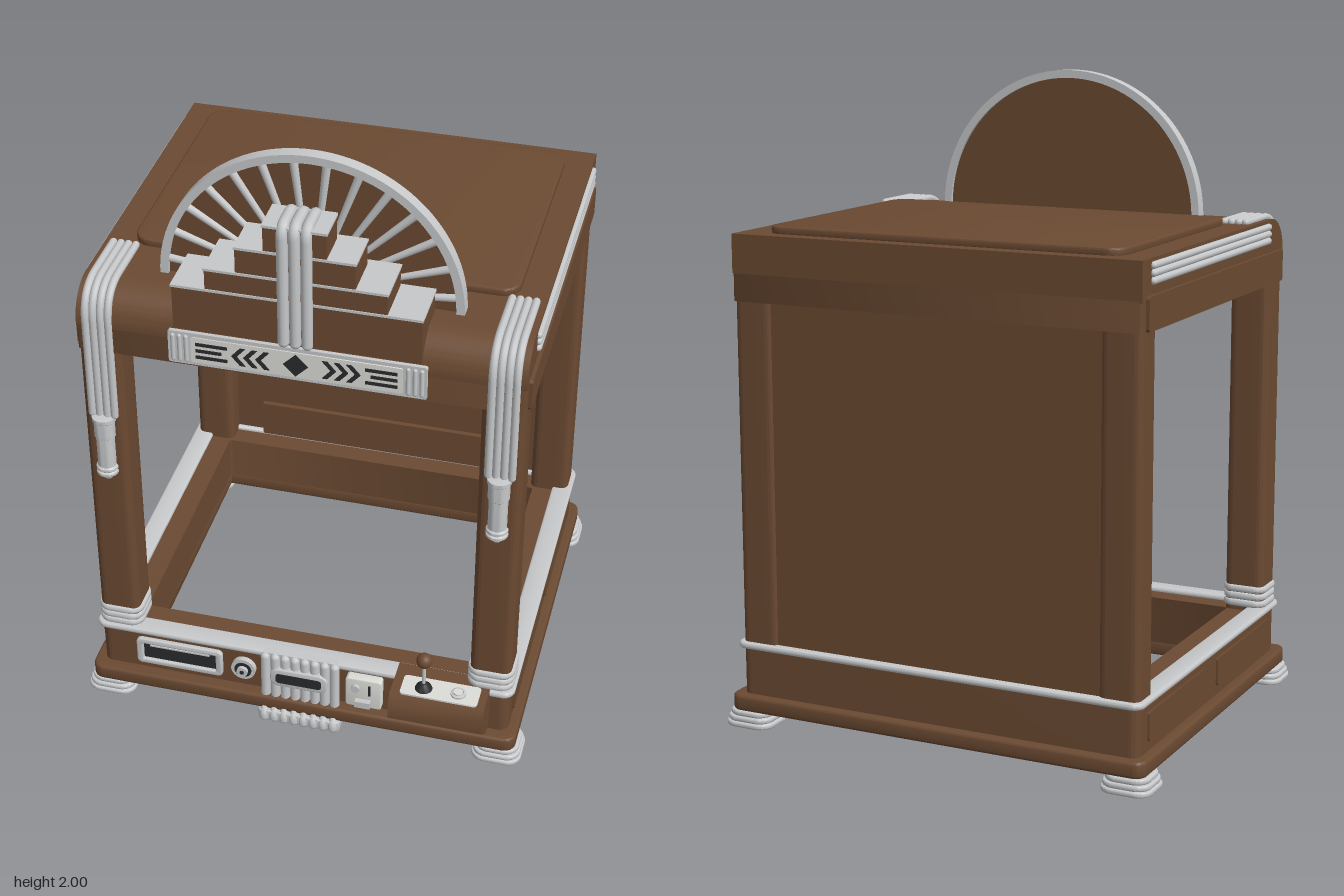
import * as THREE from 'three';
import { toCreasedNormals } from 'three/addons/utils/BufferGeometryUtils.js';

const material = (name, color) => Object.assign(new THREE.MeshStandardMaterial({ color }), { name });

export function createModel() {
  const model = new THREE.Group();
  model.name = 'arcadeCabinet';
  const wood = material('walnut brown', 0x6b4a32);
  const chrome = material('chrome', 0xc6c8ca);
  const pale = material('pale metal', 0xdcdcd8);
  const dark = material('dark grey', 0x2a2b2d);
  const V = (x, y, z) => new THREE.Vector3(x, y, z);

  function add(name, geo, mat, x = 0, y = 0, z = 0) {
    const m = new THREE.Mesh(geo, mat);
    m.name = name;
    m.position.set(x, y, z);
    model.add(m);
    return m;
  }
  const box = (name, mat, x0, x1, y0, y1, z0, z1) =>
    add(name, new THREE.BoxGeometry(x1 - x0, y1 - y0, z1 - z0), mat, (x0 + x1) / 2, (y0 + y1) / 2, (z0 + z1) / 2);

  function roundRect(w, h, r, cls = THREE.Shape) {
    const s = new cls(), a = w / 2 - r, b = h / 2 - r;
    s.absarc(a, b, r, 0, Math.PI / 2);
    s.absarc(-a, b, r, Math.PI / 2, Math.PI);
    s.absarc(-a, -b, r, Math.PI, Math.PI * 1.5);
    s.absarc(a, -b, r, Math.PI * 1.5, Math.PI * 2);
    s.closePath();
    return s;
  }
  // Extrusion from z = 0 to z = depth, optionally with softened edges
  function extrude(shape, depth, bevel = 0) {
    const g = new THREE.ExtrudeGeometry(shape, {
      depth: depth - 2 * bevel, bevelEnabled: bevel > 0, bevelSize: bevel,
      bevelThickness: bevel, bevelSegments: 3, curveSegments: 10,
    });
    return toCreasedNormals(g.translate(0, 0, bevel), 0.7);
  }
  const polygon = (pts) => new THREE.Shape(pts.map((p) => new THREE.Vector2(p[0], p[1])));
  // Horizontal rounded slab; wall > 0 makes it an open ring
  function slab(name, mat, w, d, r, y0, y1, x, z, { bevel = 0, wall = 0 } = {}) {
    const s = roundRect(w - 2 * bevel, d - 2 * bevel, r);
    if (wall) s.holes.push(roundRect(w - 2 * wall, d - 2 * wall, 0.01, THREE.Path));
    return add(name, extrude(s, y1 - y0, bevel).rotateX(-Math.PI / 2), mat, x, y0, z);
  }
  // Side profile in (z, y), extruded across x
  const profile = (name, mat, shape, x0, x1) =>
    add(name, extrude(shape, x1 - x0).rotateY(-Math.PI / 2), mat, x1, 0, 0);
  // Upright face plate
  const plate = (name, mat, shape, x, y, z0, z1, bevel = 0) => add(name, extrude(shape, z1 - z0, bevel), mat, x, y, z0);
  // Rod with round ends along points (z, y); inner corners are rounded by r
  function rod(name, mat, x, pts, radius, r) {
    const p = pts.map(([z, y]) => V(x, y, z)), path = new THREE.CurvePath();
    let from = p[0];
    for (let i = 1; i < p.length - 1; i++) {
      const a = p[i].clone().add(p[i - 1].clone().sub(p[i]).setLength(r));
      const b = p[i].clone().add(p[i + 1].clone().sub(p[i]).setLength(r));
      path.add(new THREE.LineCurve3(from, a));
      path.add(new THREE.QuadraticBezierCurve3(a, p[i], b));
      from = b;
    }
    path.add(new THREE.LineCurve3(from, p[p.length - 1]));
    add(name, new THREE.TubeGeometry(path, 48, radius, 10), mat);
    for (const e of [p[0], p[p.length - 1]]) add(name + 'End', new THREE.SphereGeometry(radius, 10, 8), mat, e.x, e.y, e.z);
  }
  const lathe = (name, mat, pts, x, y, z) =>
    add(name, toCreasedNormals(new THREE.LatheGeometry(pts.map((p) => new THREE.Vector2(p[0], p[1])), 24), 0.6), mat, x, y, z);

  // Base frame, plinth and trim
  const cz = -0.035;
  slab('plinth', wood, 1.4, 1.23, 0.03, 0.05, 0.1, 0, -0.03, { bevel: 0.008, wall: 0.14 });
  slab('baseFrame', wood, 1.34, 1.155, 0.03, 0.1, 0.255, 0, cz, { wall: 0.12 });
  slab('baseTrim', chrome, 1.37, 1.185, 0.03, 0.248, 0.268, 0, cz, { bevel: 0.007, wall: 0.06 });

  for (const s of [1, -1]) {
    // Feet and posts
    for (const z of [0.517, -0.583]) {
      [0.16, 0.152, 0.14].forEach((w, i) =>
        slab('footLayer', chrome, w, w - 0.005, 0.04, i * 0.017, (i + 1) * 0.017, s * 0.64, z, { bevel: 0.005 }));
    }
    slab('frontPost', wood, 0.13, 0.125, 0.025, 0.2, 1.36, s * 0.605, 0.478);
    slab('backPost', wood, 0.13, 0.11, 0.025, 0.2, 1.36, s * 0.605, -0.555);
    for (let i = 0; i < 3; i++)
      slab('postRing', chrome, 0.148, 0.143, 0.035, 0.268 + i * 0.024, 0.291 + i * 0.024, s * 0.605, 0.478, { bevel: 0.008 });

    // Side panels and side ribs
    for (const z of [0.24, -0.31])
      plate('baseSidePanel', wood, roundRect(0.46, 0.09, 0.008), 0, 0, 0, 0.008).rotation.y = s * Math.PI / 2,
      model.children[model.children.length - 1].position.set(s * 0.669, 0.175, z);
    const side = plate('headerSidePanel', wood, roundRect(1.1, 0.1, 0.008), 0, 0, 0, 0.012);
    side.rotation.y = s * Math.PI / 2;
    side.position.set(s * 0.669, 1.391, cz);
    for (let i = 0; i < 3; i++)
      rod('sideRib', chrome, s * 0.672, [[0.4, 1.48 + i * 0.022], [-0.54, 1.48 + i * 0.022]], 0.011, 0);

    // Ribbons over the front corners, ending in capsules
    for (let i = 0; i < 4; i++)
      rod('cornerRib', chrome, s * (0.57 + i * 0.0235), [[0.275, 1.55], [0.542, 1.55], [0.542, 1.11]], 0.012, 0.11);
    lathe('capsule', chrome, [[0, 0.87], [0.014, 0.873], [0.016, 0.886], [0.028, 0.888], [0.034, 0.894], [0.034, 0.902],
      [0.029, 0.906], [0.034, 0.911], [0.034, 0.919], [0.029, 0.924], [0.029, 1.03], [0.033, 1.034], [0.033, 1.088],
      [0.037, 1.092], [0.037, 1.104], [0, 1.11]], s * 0.605, 0, 0.543);
  }

  // Back panel with inner mouldings
  box('backPanel', wood, -0.55, 0.55, 0.24, 1.36, -0.6, -0.575);
  box('innerBackPanel', wood, -0.44, 0.44, 0.27, 1.34, -0.58, -0.562);
  box('innerTopRail', wood, -0.44, 0.44, 1.2, 1.34, -0.58, -0.545);
  box('innerBottomRail', wood, -0.44, 0.44, 0.27, 0.4, -0.58, -0.545);

  // Header and roof, rounded at the front top edge
  slab('headerFrame', wood, 1.34, 1.155, 0.01, 1.34, 1.43, 0, cz, { wall: 0.12 });
  const roof = new THREE.Shape();
  roof.moveTo(-0.6125, 1.425);
  roof.lineTo(0.5425, 1.425);
  roof.lineTo(0.5425, 1.435);
  roof.absarc(0.4325, 1.435, 0.11, 0, Math.PI / 2);
  roof.lineTo(-0.6125, 1.545);
  profile('roof', wood, roof, -0.67, 0.67);
  slab('roofPanel', wood, 1.17, 0.825, 0.05, 1.54, 1.567, 0, -0.148, { bevel: 0.006 });

  // Fan crest: half disc, rim and rays
  const R = 0.455, fanY = 1.545;
  const half = new THREE.Shape().absarc(0, 0, R - 0.01, 0, Math.PI);
  plate('fanDisc', wood, half, 0, fanY, 0.36, 0.376);
  const rim = new THREE.Shape();
  rim.absarc(0, 0, R, 0, Math.PI, false);
  rim.absarc(0, 0, R - 0.025, Math.PI, 0, true);
  const rimGeo = new THREE.ExtrudeGeometry(rim, { depth: 0.04, bevelEnabled: false, curveSegments: 40 });
  add('fanRim', toCreasedNormals(rimGeo, 0.7), chrome, 0, fanY, 0.35);
  for (let i = 0; i < 14; i++) {
    const a = (i + 0.5) / 14 * Math.PI, m = 0.325;
    const ray = add('fanRay', new THREE.CylinderGeometry(0.013, 0.009, 0.22, 10), chrome, Math.cos(a) * m, fanY + Math.sin(a) * m, 0.377);
    ray.rotation.z = a - Math.PI / 2;
  }

  // Stepped crest with metal tops and a ribbed centre
  [[0.367, 1.47, 1.62, 0.388], [0.267, 1.62, 1.69, 0.393], [0.175, 1.69, 1.775, 0.417], [0.092, 1.775, 1.86, 0.438]]
    .forEach(([w, y0, y1, z]) => {
      box('crestStep', wood, -w, w, y0, y1 - 0.008, z, 0.55);
      box('crestStepTop', chrome, -w - 0.003, w + 0.003, y1 - 0.008, y1, z - 0.003, 0.553);
    });
  for (let i = -1; i <= 1; i++)
    rod('crestRib', chrome, i * 0.035, [[0.553, 1.48], [0.553, 1.863], [0.436, 1.863], [0.436, 1.8]], 0.017, 0.035);

  // Sign with arrows
  plate('signFrame', chrome, roundRect(0.77, 0.11, 0.006), 0, 1.405, 0.53, 0.552);
  plate('signFace', pale, roundRect(0.63, 0.086, 0.005), 0, 1.405, 0.55, 0.556);
  plate('signDiamond', dark, polygon([[0.037, 0], [0, 0.037], [-0.037, 0], [0, -0.037]]), 0, 1.405, 0.555, 0.559);
  for (const s of [1, -1]) {
    for (let i = 0; i < 3; i++) {
      const x = 0.078 + i * 0.036;
      const pts = [[x, 0.03], [x + 0.016, 0.03], [x + 0.042, 0], [x + 0.016, -0.03], [x, -0.03], [x + 0.026, 0]];
      plate('signChevron', dark, polygon(pts.map(([a, b]) => [s * a, b])), 0, 1.405, 0.555, 0.559);
      const inner = i === 1 ? 0.222 : 0.205;
      const y = 1.405 + (i - 1) * 0.022;
      box('signStripe', dark, Math.min(s * inner, s * 0.3), Math.max(s * inner, s * 0.3), y - 0.005, y + 0.005, 0.555, 0.559);
      rod('signEndRib', chrome, s * (0.33 + i * 0.02), [[0.552, 1.365], [0.552, 1.445]], 0.007, 0);
    }
  }

  // Framed slot on the front left of the base
  const slotFrame = roundRect(0.28, 0.094, 0.012);
  slotFrame.holes.push(roundRect(0.252, 0.072, 0.006, THREE.Path));
  plate('slotFrame', chrome, slotFrame, -0.405, 0.178, 0.54, 0.558, 0.004);
  box('slotFace', dark, -0.53, -0.28, 0.14, 0.216, 0.54, 0.547);
  box('slotLip', chrome, -0.505, -0.305, 0.197, 0.202, 0.545, 0.551);

  // Round lock
  const disc = (name, mat, r, x, y, z0, z1) =>
    add(name, new THREE.CylinderGeometry(r, r, z1 - z0, 24).rotateX(Math.PI / 2), mat, x, y, (z0 + z1) / 2);
  disc('lockRing', chrome, 0.04, -0.19, 0.178, 0.54, 0.56);
  disc('lockInset', dark, 0.028, -0.19, 0.178, 0.555, 0.563);
  disc('lockBarrel', chrome, 0.018, -0.19, 0.178, 0.56, 0.574);
  disc('lockKeyhole', dark, 0.007, -0.19, 0.178, 0.57, 0.577);

  // Fluted centre chute
  box('chuteBody', chrome, -0.12, 0.12, 0.05, 0.27, 0.53, 0.56);
  slab('chuteFoot', chrome, 0.27, 0.09, 0.012, 0.01, 0.05, 0, 0.55, { bevel: 0.004 });
  for (let i = 0; i < 8; i++)
    rod('chuteFlute', chrome, (i - 3.5) * 0.0325, [[0.56, 0.255], [0.563, 0.065], [0.588, 0.035], [0.588, 0.022]], 0.0155, 0.006);
  plate('chuteSlotFrame', chrome, roundRect(0.18, 0.062, 0.024), 0, 0.19, 0.56, 0.582, 0.004);
  plate('chuteSlot', dark, roundRect(0.15, 0.036, 0.012), 0, 0.19, 0.577, 0.585);

  // Coin plate
  plate('coinPlate', pale, roundRect(0.11, 0.11, 0.006), 0.21, 0.178, 0.54, 0.572, 0.003);
  box('coinSlot', dark, 0.226, 0.234, 0.175, 0.215, 0.57, 0.575);
  disc('coinButton', chrome, 0.014, 0.185, 0.2, 0.57, 0.582);
  box('coinReturn', chrome, 0.185, 0.235, 0.132, 0.156, 0.57, 0.59);

  // Control console with joystick and button
  profile('console', wood, polygon([[0.5, 0.125], [0.595, 0.125], [0.662, 0.185], [0.662, 0.24], [0.64, 0.272], [0.5, 0.272]]), 0.31, 0.61);
  slab('consolePlate', pale, 0.245, 0.085, 0.012, 0.27, 0.278, 0.463, 0.597);
  lathe('joystickBase', dark, [[0.028, 0.277], [0.024, 0.286], [0.01, 0.3], [0, 0.3]], 0.41, 0, 0.6);
  add('joystickShaft', new THREE.CylinderGeometry(0.006, 0.006, 0.1, 12), chrome, 0.41, 0.335, 0.6);
  add('joystickBall', new THREE.SphereGeometry(0.025, 20, 14), wood, 0.41, 0.393, 0.6);
  lathe('buttonRing', chrome, [[0.024, 0.277], [0.024, 0.284], [0.017, 0.286], [0.017, 0.28]], 0.52, 0, 0.6);
  add('button', new THREE.CylinderGeometry(0.015, 0.015, 0.012, 20), pale, 0.52, 0.283, 0.6);

  return model;
}
